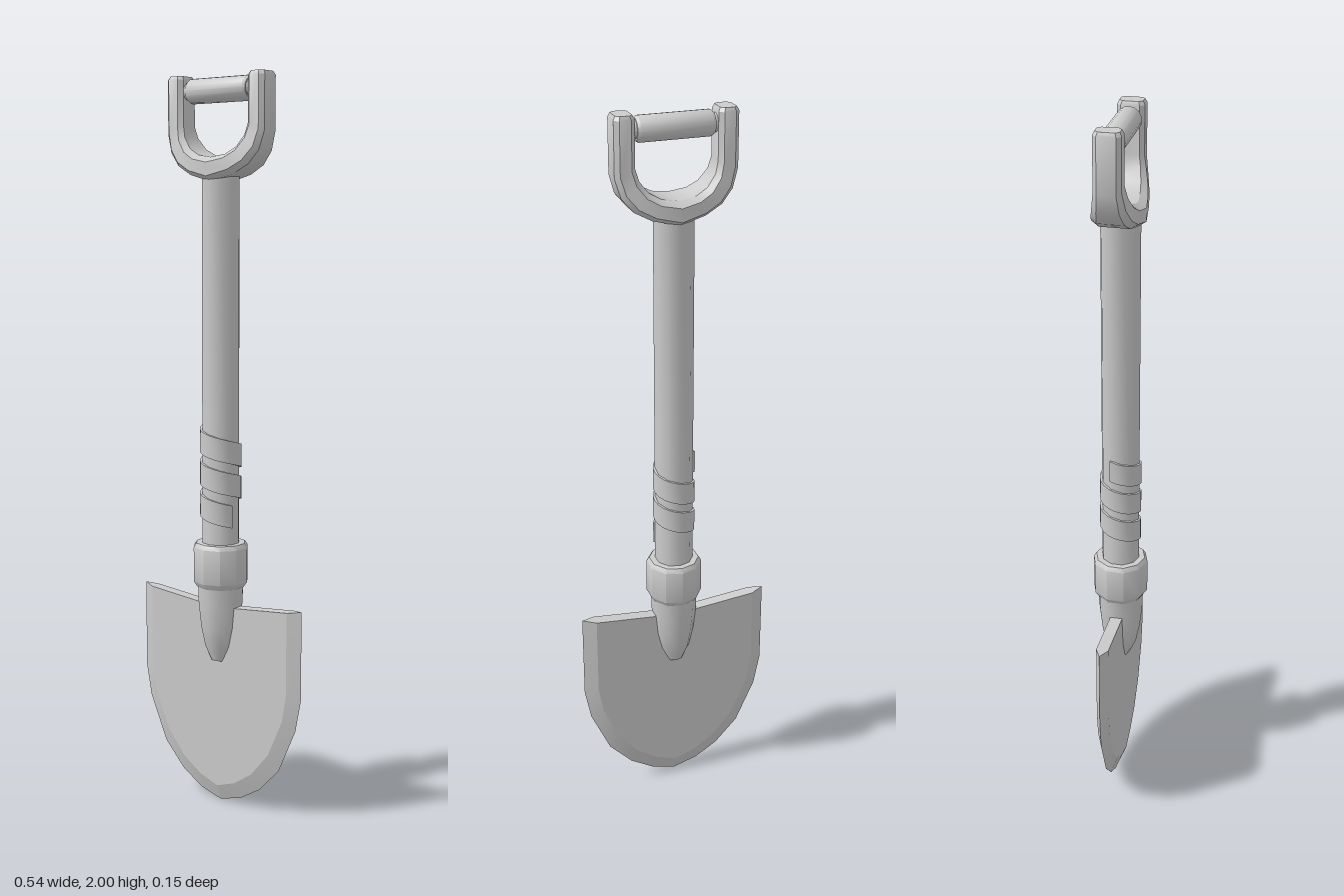
import * as THREE from 'three';
import { toCreasedNormals } from 'three/addons/utils/BufferGeometryUtils.js';

const SIDES = 10;
const metal = new THREE.MeshStandardMaterial({ color: 0xcccccc });
metal.name = 'light grey';

// Skins a row of equal-sized rings and closes both ends.
function loft(rings, crease) {
  const n = rings[0].length, last = (rings.length - 1) * n, index = [];
  const tri = (a, b, c) => { if (a !== b && b !== c && a !== c) index.push(a, b, c); };
  for (let i = 0; i < rings.length - 1; i++) {
    for (let j = 0; j < n; j++) {
      const a = i * n + j, b = i * n + (j + 1) % n;
      tri(a, b, b + n);
      tri(a, b + n, a + n);
    }
  }
  for (let j = 0; j < n / 2; j++) {
    const p = j, q = j + 1, r = n - j - 1, s = (n - j) % n;
    tri(p, r, q);
    tri(p, s, r);
    tri(last + p, last + q, last + r);
    tri(last + p, last + r, last + s);
  }
  const g = new THREE.BufferGeometry();
  g.setAttribute('position', new THREE.Float32BufferAttribute(rings.flat(2), 3));
  g.setIndex(index);
  return toCreasedNormals(g, crease);
}

// Round part from [radius, height] pairs, listed upwards.
function turned(profile, sides = SIDES) {
  const pts = profile.map(([r, y]) => new THREE.Vector2(r, y));
  return toCreasedNormals(new THREE.LatheGeometry(pts, sides), 0.68);
}

// Flat blade with sharpened sides and a square, slightly dipped top edge.
function bladeGeometry() {
  const h = 0.017;
  const outer = [[0.272, 0.595], [0.272, 0.35], [0.255, 0.26], [0.2, 0.135], [0.135, 0.065], [0.07, 0.025], [0, 0.005]];
  const inner = [[0.235, 0.59], [0.235, 0.36], [0.222, 0.285], [0.176, 0.18], [0.12, 0.112], [0.062, 0.072], [0, 0.05]];
  const rings = outer.map(([xo, yo], i) => {
    const [xi, yi] = inner[i];
    const yc = i === 0 ? 0.568 : yi;
    return [[xo, yo, 0], [xi, yi, h], [0, yc, h], [-xi, yi, h],
      [-xo, yo, 0], [-xi, yi, -h], [0, yc, -h], [xi, yi, -h]];
  });
  return loft(rings, 0.15);
}

// U-shaped yoke: a chamfered bar that gets deeper towards the shaft.
function yokeGeometry() {
  // outer x, outer y, inner x, inner y, half depth
  const half = [
    [0.155, 2.0, 0.112, 2.0, 0.03], [0.16, 1.99, 0.107, 1.99, 0.035],
    [0.16, 1.85, 0.107, 1.87, 0.035], [0.145, 1.8, 0.099, 1.84, 0.042],
    [0.115, 1.765, 0.076, 1.81, 0.051], [0.07, 1.741, 0.045, 1.793, 0.058],
    [0, 1.723, 0, 1.786, 0.065],
  ];
  const mirrored = half.slice(0, -1).reverse().map(([a, b, c, d, e]) => [-a, b, -c, d, e]);
  const section = [[1, 0.68], [0.78, 1], [0.22, 1], [0, 0.68], [0, -0.68], [0.22, -1], [0.78, -1], [1, -0.68]];
  const rings = [...half, ...mirrored].map(([xo, yo, xi, yi, d]) =>
    section.map(([u, z]) => [xi + (xo - xi) * u, yi + (yo - yi) * u, z * d]));
  return loft(rings, 0.5);
}

// Flat strip wound around the shaft.
function wrapGeometry() {
  const steps = 48, turns = 2.5, pitch = 0.088, rings = [];
  for (let i = 0; i <= steps; i++) {
    const t = (i / steps) * turns, a = t * Math.PI * 2 - 1.9;
    const y = 1.048 - t * pitch, s = Math.sin(a), c = Math.cos(a);
    const at = (r, dy) => [s * r, y + dy, c * r];
    rings.push([at(0.057, 0.031), at(0.057, -0.031), at(0.045, -0.031), at(0.045, 0.031)]);
  }
  return loft(rings, 0.6);
}

export function createModel() {
  const group = new THREE.Group();
  const add = (name, geometry) => {
    const mesh = new THREE.Mesh(geometry, metal);
    mesh.name = name;
    group.add(mesh);
    return mesh;
  };

  add('blade', bladeGeometry());
  add('socket', turned([[0, 0.415], [0.026, 0.416], [0.045, 0.46], [0.056, 0.515], [0.063, 0.58], [0.065, 0.64]]));
  add('collar', turned([[0.05, 0.625], [0.066, 0.627], [0.077, 0.643], [0.077, 0.738], [0.069, 0.75], [0.045, 0.75]]));
  add('shaft', turned([[0.052, 0.62], [0.052, 1.75]]));
  add('wrap', wrapGeometry());
  add('yoke', yokeGeometry());

  // Crossbar with a narrow neck at each end
  const grip = add('grip', turned([[0.024, -0.115], [0.024, -0.1], [0.028, -0.1], [0.033, -0.093],
    [0.033, 0.093], [0.028, 0.1], [0.024, 0.1], [0.024, 0.115]], 16));
  grip.rotation.z = Math.PI / 2;
  grip.position.y = 1.96;

  return group;
}
